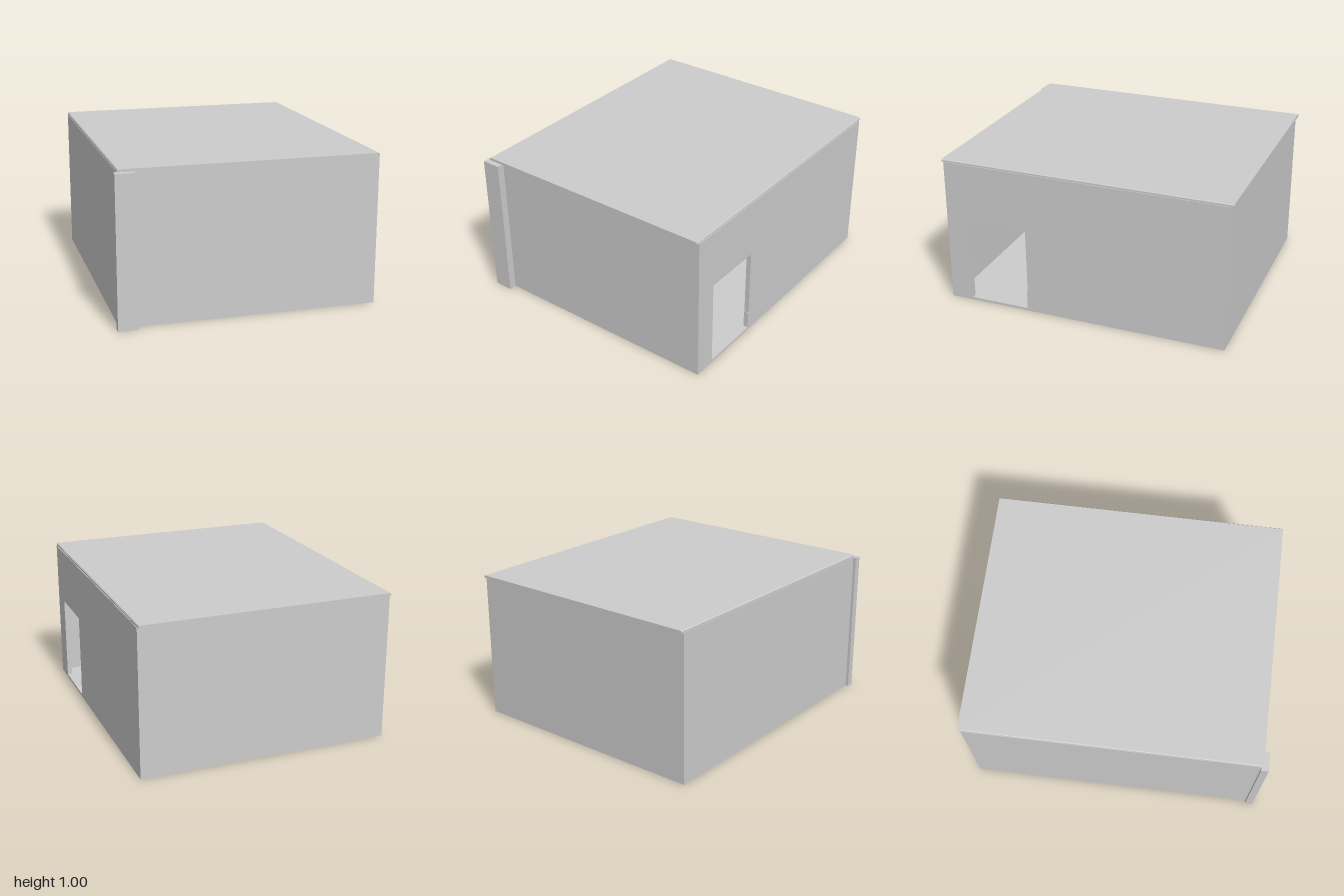
import * as THREE from 'three';

const material = new THREE.MeshStandardMaterial({ color: 0xcccccc, flatShading: true });

export function createModel() {
  const group = new THREE.Group();
  const add = (name, geometry) => {
    const mesh = new THREE.Mesh(geometry, material);
    mesh.name = name;
    group.add(mesh);
  };
  // Box given by its minimum and maximum corners
  const box = (name, x0, x1, y0, y1, z0, z1) =>
    add(name, new THREE.BoxGeometry(x1 - x0, y1 - y0, z1 - z0)
      .translate((x0 + x1) / 2, (y0 + y1) / 2, (z0 + z1) / 2));
  const outline = pts => pts.map(([x, y]) => new THREE.Vector2(x, y));

  const left = -0.835, right = 0.853, back = -0.98, front = 0.95;
  const top = 0.988, t = 0.033, floorTop = 0.018;

  // Hollow room: floor and three plain walls
  box('floor', left + t, right - t, 0, floorTop, back + t, front - t);
  box('frontWall', left, right - t, 0, top, front - t, front);
  box('backWall', left, right - t, 0, top, back, back + t);
  box('sideWall', left, left + t, 0, top, back + t, front - t);

  // Side wall with an open doorway, drawn in z and y
  const wall = new THREE.Shape(outline([[back, 0], [front, 0], [front, top], [back, top]]));
  wall.holes.push(new THREE.Path(outline([
    [0.385, floorTop], [0.385, 0.135], [0.38, 0.135], [0.38, 0.603], [0.797, 0.603], [0.797, floorTop],
  ])));
  add('doorWall', new THREE.ExtrudeGeometry(wall, { depth: t, bevelEnabled: false })
    .rotateY(-Math.PI / 2).translate(right, 0, 0));

  // Thin roof slab with chamfered long edges, overhanging front and back
  const slab = new THREE.Shape(outline([
    [-0.832, top], [0.848, top], [0.848, 0.999], [0.843, 1.005], [-0.826, 1.005], [-0.832, 0.999],
  ]));
  add('roof', new THREE.ExtrudeGeometry(slab, { depth: 1.965, bevelEnabled: false }).translate(0, 0, -1));

  // Corner pillar on the front
  box('cornerPillar', -0.855, -0.727, 0, 0.986, front, 1);

  return group;
}
